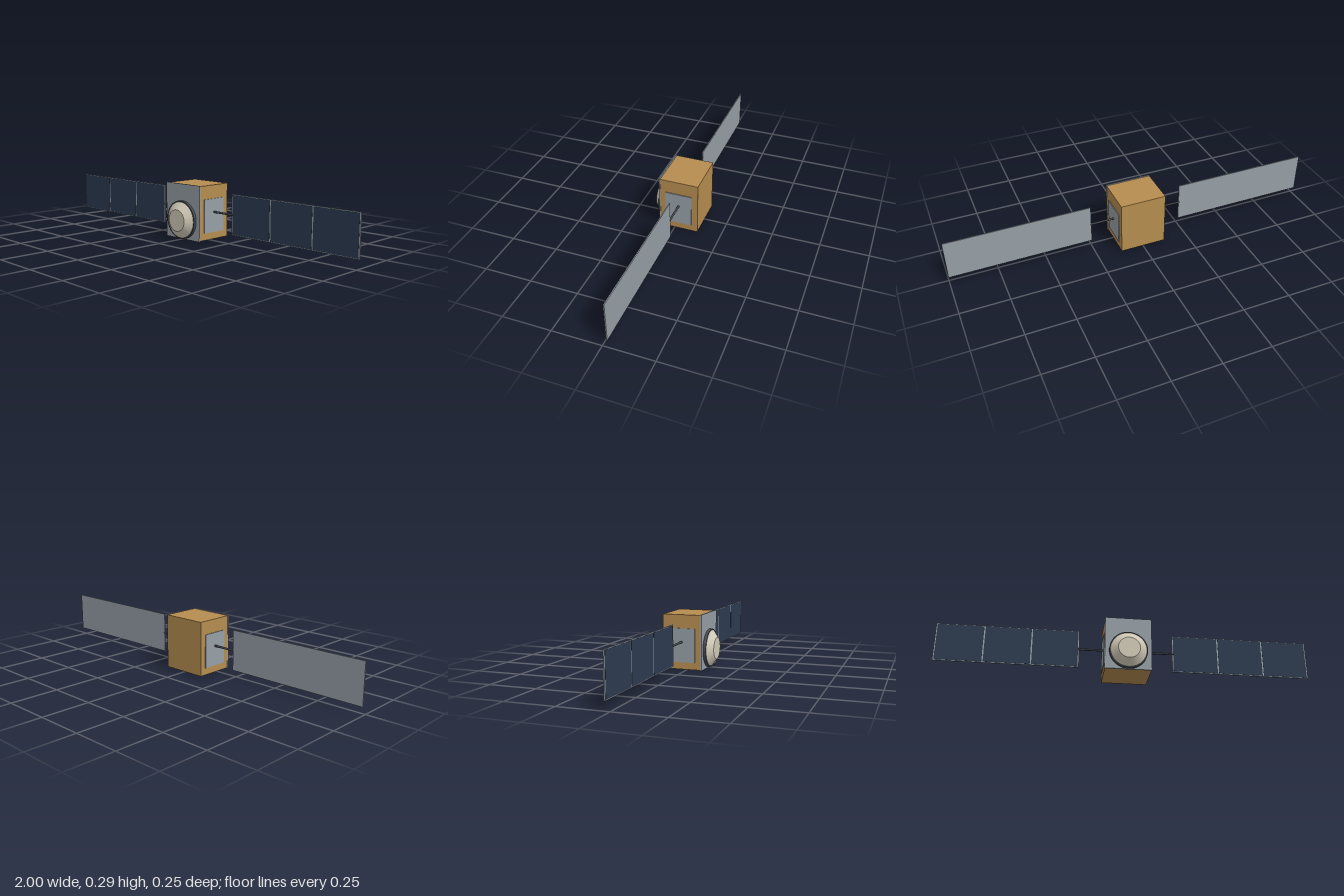
import * as THREE from 'three';

const material = (name, color, extra = {}) => {
  const m = new THREE.MeshStandardMaterial({ color, ...extra });
  m.name = name;
  return m;
};

export function createModel() {
  const gold = material('gold foil', 0xb58d50);
  const grey = material('panel grey', 0x969fa6);
  const navy = material('solar cell navy', 0x2d3b50);
  const dark = material('dark metal', 0x484c52);
  const cream = material('dish cream', 0xd2cbb9);

  const model = new THREE.Group();
  model.name = 'satellite';

  const add = (parent, name, geometry, mat, x, y, z) => {
    const mesh = new THREE.Mesh(geometry, mat);
    mesh.name = name;
    mesh.position.set(x, y, z);
    parent.add(mesh);
    return mesh;
  };
  const box = (parent, name, mat, size, pos) =>
    add(parent, name, new THREE.BoxGeometry(...size), mat, ...pos);

  // Foil-wrapped body and the slightly larger front plate
  box(model, 'body', gold, [0.243, 0.285, 0.204], [0, 0.1455, -0.025]);
  box(model, 'frontPlate', grey, [0.246, 0.291, 0.007], [0, 0.1455, 0.0802]);

  // Dish: dark rim disc and a cream truncated cone facing forward
  const dish = new THREE.Group();
  dish.name = 'dish';
  dish.position.set(0, 0.103, 0);
  model.add(dish);
  const disc = (name, mat, rFront, rBack, z0, z1) => {
    const g = new THREE.CylinderGeometry(rFront, rBack, z1 - z0, 48);
    g.rotateX(Math.PI / 2);
    add(dish, name, g, mat, 0, 0, (z0 + z1) / 2);
  };
  disc('dishRim', dark, 0.101, 0.101, 0.0835, 0.099);
  disc('dishCone', cream, 0.057, 0.095, 0.099, 0.128);

  // Side radiators, booms and solar wings, mirrored across x
  const wingY = 0.147, wingZ = -0.024;
  for (const side of [1, -1]) {
    const wing = new THREE.Group();
    wing.name = side > 0 ? 'leftWing' : 'rightWing';
    model.add(wing);

    box(wing, 'sideRadiator', grey, [0.006, 0.177, 0.141], [side * 0.1225, 0.1285, -0.0235]);

    const rod = new THREE.CylinderGeometry(0.0055, 0.0055, 0.14, 16);
    rod.rotateZ(Math.PI / 2);
    add(wing, 'boom', rod, dark, side * 0.185, wingY - 0.001, wingZ);

    box(wing, 'wingPanel', grey, [0.75, 0.211, 0.0055], [side * 0.625, wingY, wingZ]);

    // Three dark cell sheets on the front of each wing
    for (let i = 0; i < 3; i++) {
      box(wing, 'solarCells', navy, [0.241, 0.203, 0.001],
        [side * (0.377 + i * 0.248), wingY, wingZ + 0.0031]);
    }
  }
  return model;
}
